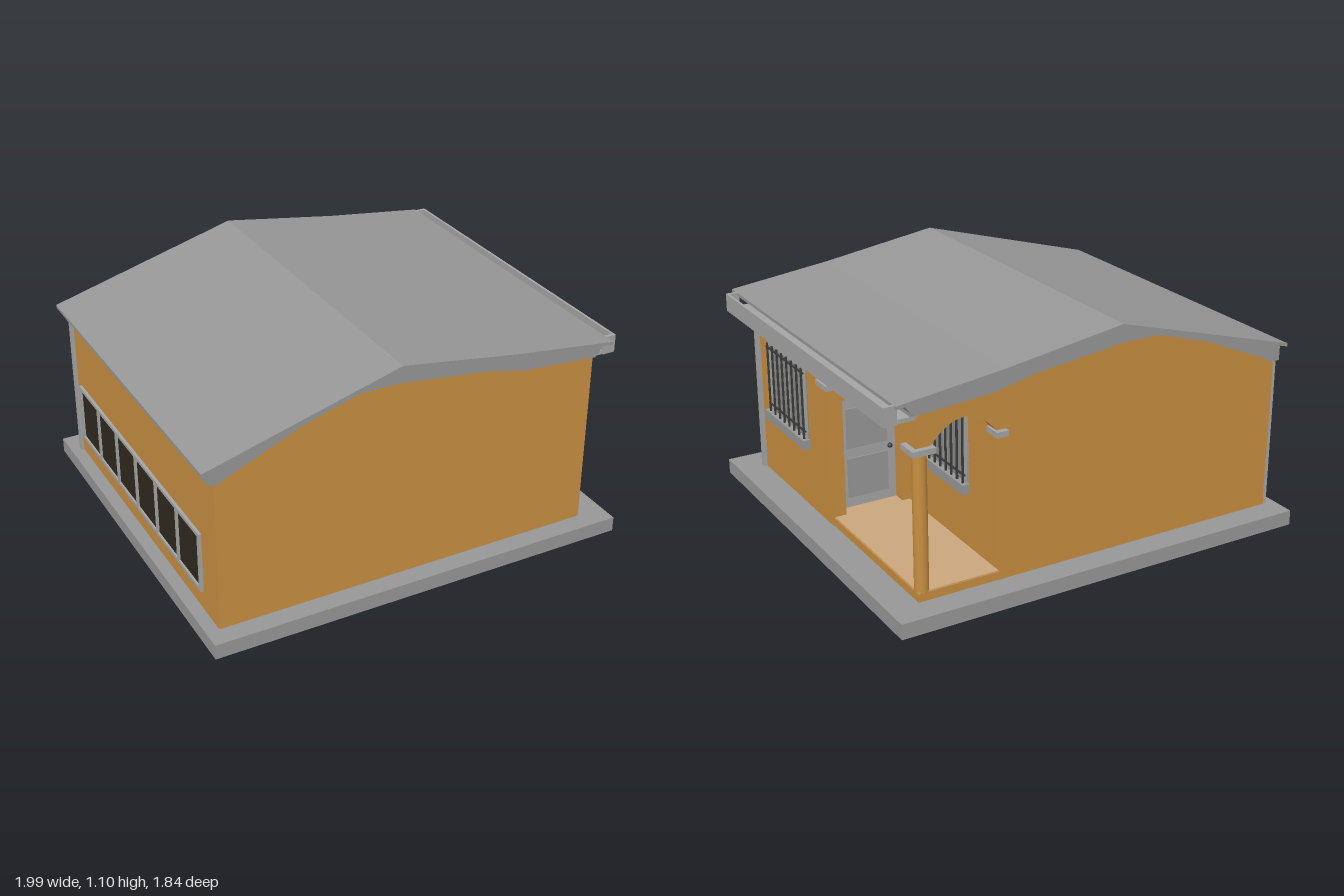
import * as THREE from 'three';

export function createModel() {
  const house = new THREE.Group();
  const paint = (name, color) => {
    const m = new THREE.MeshStandardMaterial({ color });
    m.name = name;
    return m;
  };
  const orange = paint('orange plaster', 0xc68e40);
  const grey = paint('grey concrete', 0x969696);
  const pale = paint('pale trim', 0xa4a4a4);
  const paneGrey = paint('curtain grey', 0x8a8a8a);
  const dark = paint('dark glass', 0x2e2a1e);
  const iron = paint('iron bars', 0x3c3c3a);
  const tan = paint('tan floor', 0xc9a57c);

  const add = (name, geometry, material, parent = house) => {
    const mesh = new THREE.Mesh(geometry, material);
    mesh.name = name;
    parent.add(mesh);
    return mesh;
  };
  // Box given by its lower and upper corners
  const box = (name, [x0, y0, z0], [x1, y1, z1], material, parent) => {
    const g = new THREE.BoxGeometry(x1 - x0, y1 - y0, z1 - z0);
    g.translate((x0 + x1) / 2, (y0 + y1) / 2, (z0 + z1) / 2);
    return add(name, g, material, parent);
  };
  // Outline in x and y, pulled from z0 to z1
  const slab = (name, points, z0, z1, material) => {
    const shape = new THREE.Shape(points.map(p => new THREE.Vector2(...p)));
    const g = new THREE.ExtrudeGeometry(shape, { depth: z1 - z0, bevelEnabled: false });
    g.translate(0, 0, z0);
    return add(name, g, material);
  };

  // Foundation
  box('foundation', [-1, 0, -0.92], [0.99, 0.07, 0.92], grey);

  // Walls, L-shaped in plan, with a shallow gable
  const gable = [[-0.11, 1.04], [-0.3, 1.03], [-0.55, 0.955], [-0.94, 0.82]];
  const fullTop = [[0.855, 0.91], [0.5, 0.94], [0.3, 0.98], ...gable];
  slab('mainWalls', [[-0.94, 0.06], [0.855, 0.06], ...fullTop], 0.07, 0.83, orange);
  slab('doorWall', [[-0.94, 0.06], [0.51, 0.06], [0.51, 0.66], [0.79, 0.66],
    [0.79, 0.06], [0.855, 0.06], ...fullTop], 0, 0.07, orange);
  slab('backWalls', [[-0.94, 0.06], [0.47, 0.06], [0.47, 0.945], [0.3, 0.98], ...gable],
    -0.8, 0, orange);

  // Recessed door
  box('door', [0.51, 0.11, 0.06], [0.79, 0.66, 0.072], pale);
  for (const y of [0.16, 0.4]) {
    box('doorPanel', [0.55, y, 0.054], [0.75, y + 0.19, 0.062], grey);
  }
  const knob = add('doorKnob', new THREE.SphereGeometry(0.012, 12, 8), iron);
  knob.position.set(0.54, 0.375, 0.05);

  // Porch floor, ceiling and corner column
  box('porchCurb', [0.47, 0.06, -0.8], [0.85, 0.108, 0.06], orange);
  box('porchFloor', [0.472, 0.107, -0.795], [0.845, 0.112, 0.06], tan);
  box('porchCeiling', [0.46, 0.88, -0.79], [0.84, 0.9, 0.01], grey);
  const column = add('porchColumn', new THREE.CylinderGeometry(0.031, 0.031, 0.64, 24), orange);
  column.position.set(0.82, 0.42, -0.77);

  // Arched panels over the two porch openings
  const arch = (name, u0, a0, a1, u1) => {
    const s = new THREE.Shape();
    s.moveTo(u0, 0.74);
    s.lineTo(a0, 0.74);
    s.quadraticCurveTo((a0 + a1) / 2, 0.94, a1, 0.74);
    s.lineTo(u1, 0.74);
    s.lineTo(u1, 0.92);
    s.lineTo(u0, 0.92);
    const g = new THREE.ExtrudeGeometry(s, { depth: 0.06, bevelEnabled: false, curveSegments: 24 });
    return add(name, g, orange);
  };
  const sideArch = arch('sideArch', 0, 0.005, 0.74, 0.8);
  sideArch.rotation.y = Math.PI / 2;
  sideArch.position.x = 0.79;
  arch('backArch', 0.46, 0.475, 0.79, 0.85).position.z = -0.8;

  // Capitals where the arches spring
  box('columnCapital', [0.77, 0.725, -0.825], [0.875, 0.75, -0.72], pale);
  box('wallCapital', [0.77, 0.725, -0.02], [0.875, 0.75, 0.085], pale);
  box('backCapital', [0.44, 0.725, -0.825], [0.495, 0.75, -0.74], pale);

  // Barred window facing +x; u runs towards the back
  const barredWindow = (x, u0, u1) => {
    const w = new THREE.Group();
    w.name = 'barredWindow';
    w.rotation.y = Math.PI / 2;
    w.position.x = x;
    house.add(w);
    box('curtain', [u0, 0.4, -0.01], [u1, 0.755, 0.004], paneGrey, w);
    box('frameTop', [u0, 0.74, 0], [u1, 0.76, 0.012], pale, w);
    for (const u of [u0, u1 - 0.018]) {
      box('frameSide', [u, 0.4, 0], [u + 0.018, 0.76, 0.012], pale, w);
    }
    box('mullion', [(u0 + u1) / 2 - 0.012, 0.4, 0], [(u0 + u1) / 2 + 0.012, 0.75, 0.01], pale, w);
    box('sill', [u0 - 0.015, 0.365, -0.01], [u1 + 0.01, 0.41, 0.035], grey, w);
    for (let i = 0; i < 8; i++) {
      const u = u0 + 0.015 + (i / 7) * (u1 - u0 - 0.03);
      box('bar', [u - 0.004, 0.41, 0.016], [u + 0.004, 0.75, 0.024], iron, w);
    }
    for (const y of [0.445, 0.725]) {
      box('crossBar', [u0, y, 0.014], [u1, y + 0.007, 0.022], iron, w);
    }
  };
  barredWindow(0.855, -0.635, -0.225);
  barredWindow(0.47, 0.17, 0.545);

  // Row of six dark panes on the -x wall
  const strip = new THREE.Group();
  strip.name = 'windowStrip';
  strip.rotation.y = -Math.PI / 2;
  strip.position.x = -0.94;
  house.add(strip);
  const z0 = -0.72, step = 0.232, z1 = z0 + 6 * step;
  box('glass', [z0, 0.17, -0.01], [z1, 0.45, 0.005], dark, strip);
  for (const y of [0.165, 0.435]) {
    box('rail', [z0, y, 0], [z1, y + 0.016, 0.014], pale, strip);
  }
  for (let i = 0; i <= 6; i++) {
    const z = z0 + i * step;
    box('post', [z - 0.009, 0.165, 0], [z + 0.009, 0.451, 0.014], pale, strip);
    if (i < 6) box('bracket', [z + 0.1, 0.145, 0], [z + 0.115, 0.165, 0.012], grey, strip);
  }

  // Roof sheet and the deeper fascia below it
  const top = [[-1, 0.85], [-0.11, 1.1], [0.45, 1.015], [0.94, 0.955]];
  slab('roof', [[0.94, 0.94], [0.45, 1.0], [-0.11, 1.08], [-1, 0.835],
    ...top], -0.82, 0.855, grey);
  slab('fascia', [[-0.96, 0.79], [-0.9, 0.79], [-0.55, 0.94], [-0.3, 1.015], [-0.11, 1.015],
    [0, 1.0], [0.3, 0.965], [0.5, 0.92], [0.86, 0.893], [0.9, 0.943], [0.45, 1.005],
    [-0.11, 1.09], [-0.96, 0.855]], -0.812, 0.842, grey);

  // Eaves, gutters and downspouts
  box('leftGutter', [-0.965, 0.775, -0.81], [-0.91, 0.84, 0.84], grey);
  box('gutterFloor', [0.84, 0.872, -0.8], [0.99, 0.89, 0.8], pale);
  box('gutterLip', [0.978, 0.872, -0.8], [0.99, 0.955, 0.8], pale);
  box('gutterBack', [0.85, 0.88, -0.8], [0.87, 0.95, 0.8], grey);
  for (const z of [-0.81, 0.79]) {
    box('gutterEnd', [0.93, 0.872, z], [0.99, 0.955, z + 0.015], pale);
  }
  box('rightDownspout', [0.85, 0.07, 0.755], [0.872, 0.9, 0.785], pale);
  box('leftDownspout', [-0.955, 0.07, -0.8], [-0.935, 0.8, -0.775], pale);

  return house;
}
